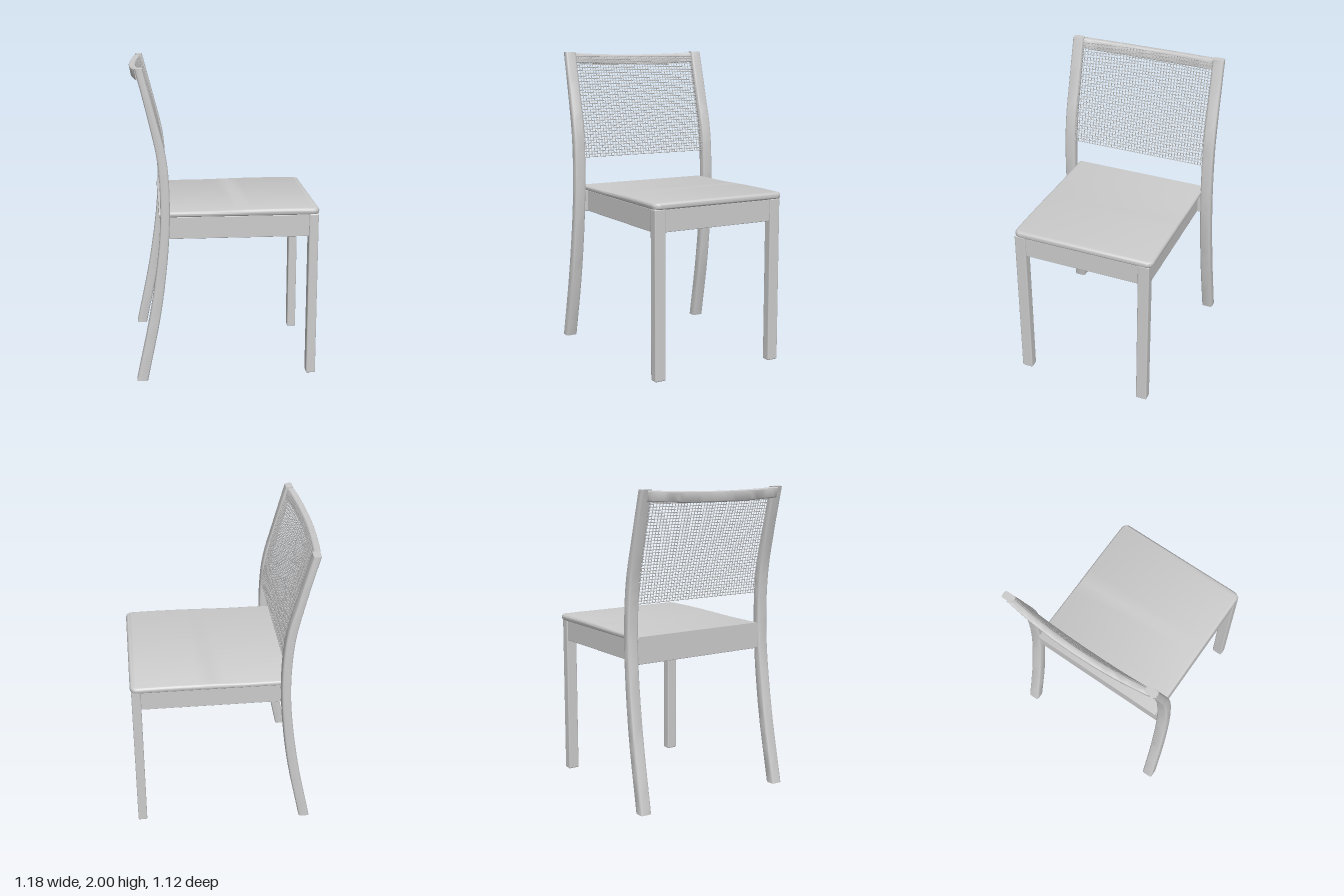
import * as THREE from 'three';
import { toCreasedNormals } from 'three/addons/utils/BufferGeometryUtils.js';
import { RoundedBoxGeometry } from 'three/addons/geometries/RoundedBoxGeometry.js';

const material = new THREE.MeshStandardMaterial({ color: 0xcccccc });
const V = (x, y, z) => new THREE.Vector3(x, y, z);

// Rounded rectangle outline, counterclockwise in (u, v)
function roundedOutline(w, h, r, steps = 4) {
  const pts = [];
  [[1, 1], [-1, 1], [-1, -1], [1, -1]].forEach(([su, sv], q) => {
    for (let i = 0; i <= steps; i++) {
      const a = (q + i / steps) * Math.PI / 2;
      pts.push([su * (w / 2 - r) + r * Math.cos(a), sv * (h / 2 - r) + r * Math.sin(a)]);
    }
  });
  return pts;
}

// Skin a list of rings, with a flat cap at each end
function loft(rings) {
  const n = rings[0].length, pos = [], index = [];
  rings.forEach(ring => ring.forEach(p => pos.push(p.x, p.y, p.z)));
  for (let j = 0; j < rings.length - 1; j++) {
    for (let i = 0; i < n; i++) {
      const a = j * n + i, b = j * n + (i + 1) % n;
      index.push(a, b, b + n, a, b + n, a + n);
    }
  }
  const last = (rings.length - 1) * n;
  for (let i = 1; i < n - 1; i++) {
    index.push(0, i + 1, i, last, last + i, last + i + 1);
  }
  const g = new THREE.BufferGeometry();
  g.setAttribute('position', new THREE.Float32BufferAttribute(pos, 3));
  g.setIndex(index);
  return toCreasedNormals(g, 0.7);
}

export function createModel() {
  const group = new THREE.Group();
  const add = (geometry, name, parent = group) => {
    const mesh = new THREE.Mesh(geometry, material);
    mesh.name = name;
    parent.add(mesh);
    return mesh;
  };
  const box = (name, x0, x1, y0, y1, z0, z1, r = 0.008) => {
    const g = new RoundedBoxGeometry(x1 - x0, y1 - y0, z1 - z0, 2, r);
    g.translate((x0 + x1) / 2, (y0 + y1) / 2, (z0 + z1) / 2);
    return add(g, name);
  };

  // Rear legs sweep up into the back posts; each point is (rear x, y, front x)
  const post = new THREE.CatmullRomCurve3([
    V(-0.577, 0.025, -0.508), V(-0.48, 0.5, -0.413), V(-0.422, 0.93, -0.363),
    V(-0.413, 1.2, -0.355), V(-0.43, 1.45, -0.372), V(-0.486, 1.72, -0.436),
    V(-0.555, 2.0, -0.508)]);
  for (const side of [1, -1]) {
    const rings = [];
    for (let j = 0; j <= 36; j++) {
      const p = post.getPoint(j / 36);
      const zMid = 0.522 - 0.028 * p.y / 2;
      rings.push(roundedOutline(0.076, p.z - p.x, 0.014).map(([u, v]) =>
        V((p.x + p.z) / 2 + v, p.y, side * zMid + u)));
    }
    add(loft(rings), side > 0 ? 'leftRearLeg' : 'rightRearLeg');
  }

  // Front legs and side aprons
  for (const side of [1, -1]) {
    const label = side > 0 ? 'left' : 'right';
    const span = (a, b) => side > 0 ? [a, b] : [-b, -a];
    box(label + 'FrontLeg', 0.525, 0.585, 0, 1.075, ...span(0.385, 0.46));
    box(label + 'Apron', -0.39, 0.53, 0.93, 1.072, ...span(0.405, 0.452), 0.004);
  }
  box('frontApron', 0.53, 0.575, 0.93, 1.072, -0.39, 0.39, 0.004);
  box('rearApron', -0.405, -0.365, 0.93, 1.072, -0.475, 0.475, 0.004);

  // Seat: rounded slab with a gentle rise to the front and rounded corners
  const x0 = -0.42, x1 = 0.592, corner = 0.045, stations = [];
  for (let i = 0; i <= 6; i++) stations.push(x0 + 0.015 * (1 - Math.cos(i * Math.PI / 12)));
  for (let i = 1; i <= 10; i++) stations.push(x0 + 0.015 + i * (x1 - corner - x0 - 0.015) / 10);
  for (let i = 1; i <= 8; i++) stations.push(x1 - corner + corner * Math.sin(i * Math.PI / 16));
  const seatRings = stations.map(x => {
    const c = Math.max(0, (x - x1 + corner) / corner);
    const inset = corner * (1 - Math.sqrt(Math.max(0, 1 - c * c)));
    const edge = Math.max(0, (x - x1 + 0.018) / 0.018);
    const thin = 0.018 * (1 - Math.sqrt(Math.max(0, 1 - edge * edge)));
    const top = 1.106 + 0.008 * Math.sin(Math.PI * Math.max(0, Math.min(1, (x + 0.1) / 0.9)));
    const h = top - 1.07 - 2 * thin;
    return roundedOutline(h, 0.942 - 2 * inset, Math.min(0.018, h * 0.48)).map(([u, v]) =>
      V(x, (1.07 + top) / 2 + u, v - 0.008));
  });
  add(loft(seatRings), 'seat');

  // Top rail, bowed towards the rear and dipping at its middle
  const railRings = [];
  for (let j = 0; j <= 28; j++) {
    const z = -0.49 + 0.98 * j / 28;
    const bow = 1 - (z / 0.53) ** 2;
    railRings.push(roundedOutline(0.042, 0.068, 0.009).map(([u, v]) =>
      V(-0.524 - 0.042 * bow + u - 0.2 * v, 1.964 - 0.016 * bow + v, z)));
  }
  add(loft(railRings), 'topRail');

  // Woven back panel: a grid of thin strands following the posts and the bow
  const weave = new THREE.Group();
  weave.name = 'wovenBack';
  group.add(weave);
  const profile = new THREE.CatmullRomCurve3([
    V(-0.36, 1.3, 0), V(-0.398, 1.523, 0), V(-0.45, 1.747, 0), V(-0.508, 1.97, 0)]);
  const strandPoint = (t, z) => {
    const p = profile.getPoint(t);
    return V(p.x - 0.042 * t * (1 - (z / 0.49) ** 2), p.y, z);
  };
  const strand = (name, at) => {
    const pts = [];
    for (let i = 0; i <= 8; i++) pts.push(at(i / 8));
    add(new THREE.TubeGeometry(new THREE.CatmullRomCurve3(pts), 14, 0.0028, 4), name, weave);
  };
  const columns = 46, rows = 36;
  for (let i = 0; i <= columns; i++) {
    const z = -0.48 + 0.96 * i / columns;
    strand('uprightStrand', t => strandPoint(t, z));
  }
  for (let j = 0; j <= rows; j++) {
    strand('crossStrand', s => strandPoint(j / rows, -0.48 + 0.96 * s));
  }

  return group;
}
